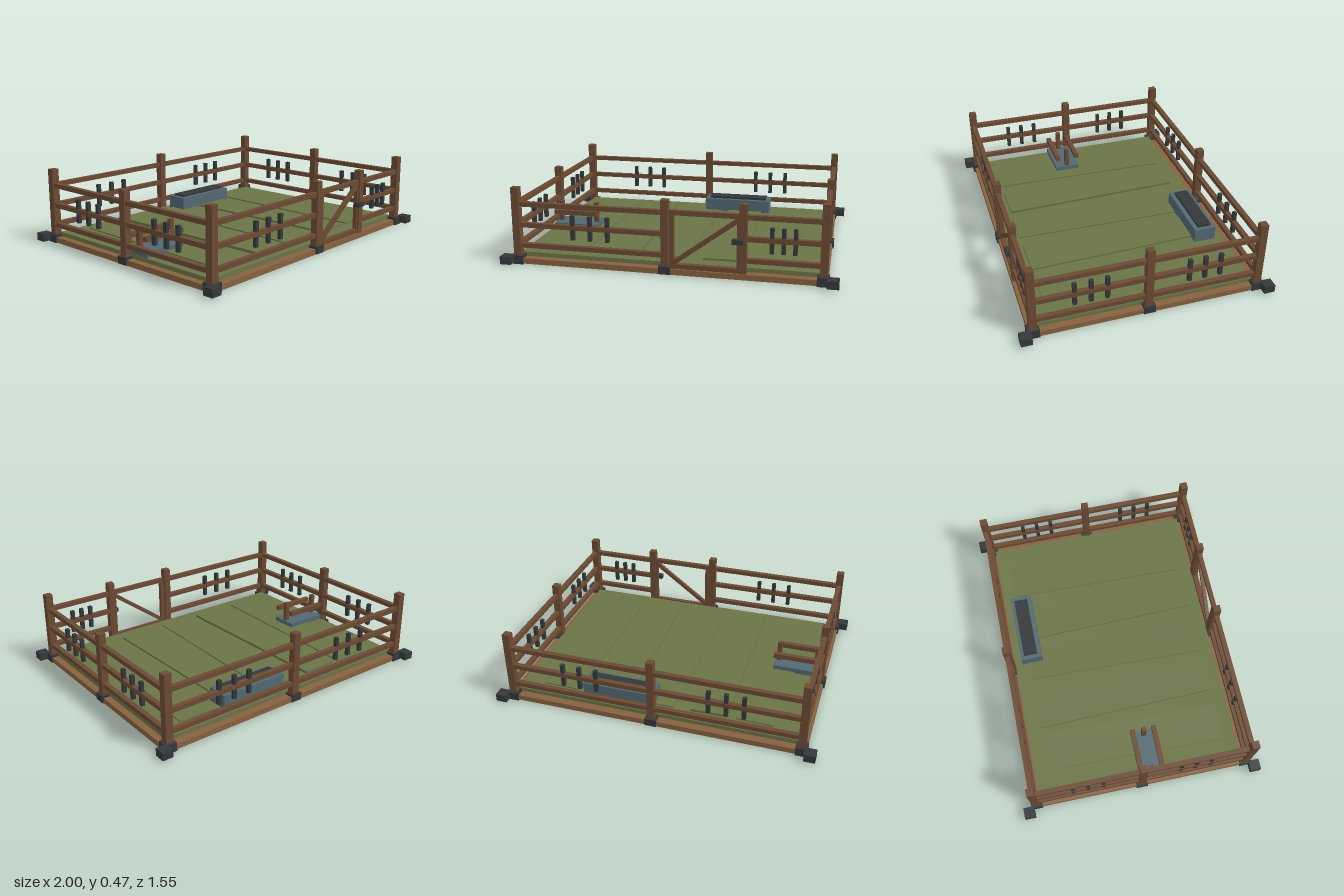
import * as THREE from 'three';

const mat = (color) => new THREE.MeshStandardMaterial({ color, flatShading: true });

export function createModel() {
  const model = new THREE.Group();
  model.name = 'paddock';
  const wood = mat(0x6b4a33), beam = mat(0x86613f), grass = mat(0x6b7347);
  const iron = mat(0x34383a), slate = mat(0x526871), earth = mat(0x3d2d20);

  // Box given by centre x/z, bottom and top heights
  const box = (name, m, x, z, y0, y1, w, d, parent = model) => {
    const mesh = new THREE.Mesh(new THREE.BoxGeometry(w, y1 - y0, d), m);
    mesh.position.set(x, (y0 + y1) / 2, z);
    mesh.name = name;
    parent.add(mesh);
    return mesh;
  };
  const X = 0.912, Z = 0.688;

  // Floor: underside, turf and the slightly skewed turf strips
  box('underside', earth, 0, 0, 0, 0.03, 1.86, 1.4);
  box('turf', grass, 0, 0, 0.03, 0.062, 1.79, 1.33);
  const strips = [[-0.625, -0.025, 0.07], [-0.315, 0.021, 0.078], [0, -0.027, 0.07],
    [0.31, 0.021, 0.074], [0.622, -0.022, 0.07]];
  for (const [x, turn, top] of strips) {
    box('turfStrip', grass, x, 0, 0.06, top, 0.235, 1.165).rotation.y = turn;
  }

  // Base frame
  for (const s of [-1, 1]) {
    box('baseBeam', beam, 0, s * Z, 0.002, 0.036, 1.876, 0.052);
    box('baseBeam', beam, s * X, 0, 0.002, 0.036, 0.052, 1.324);
  }

  // Corner posts with iron feet
  for (const sx of [-1, 1]) for (const sz of [-1, 1]) {
    box('cornerPost', wood, sx * X, sz * Z, 0.03, 0.472, 0.046, 0.046);
    box('cornerFoot', iron, sx * 0.91, sz * 0.688, 0, 0.053, 0.07, 0.072);
    box('cornerBlock', iron, sx * 0.966, sz * 0.74, 0.01, 0.058, 0.068, 0.068);
  }

  // Middle posts with iron feet
  for (const s of [-1, 1]) {
    box('middlePost', wood, 0, s * Z, 0.03, 0.447, 0.045, 0.045);
    box('middleFoot', iron, 0, s * 0.693, 0.004, 0.05, 0.072, 0.06);
    box('middlePost', wood, s * X, 0, 0.03, 0.447, 0.045, 0.045);
    box('middleFoot', iron, s * 0.918, 0, 0.004, 0.05, 0.06, 0.072);
  }
  box('gatePost', wood, 0.455, Z, 0.03, 0.447, 0.044, 0.044);

  // Fence bays: three rails and three short pickets, built along x
  const fenceBay = (from, to, spread) => {
    const bay = new THREE.Group();
    bay.name = 'fenceBay';
    const mid = (from + to) / 2;
    for (const y of [0.114, 0.242, 0.37]) {
      box('rail', wood, mid, 0, y - 0.014, y + 0.014, to - from, 0.03, bay);
    }
    for (const i of [-1, 0, 1]) {
      box('picket', iron, mid + i * spread, 0, 0.165, 0.315, 0.024, 0.022, bay);
    }
    model.add(bay);
    return bay;
  };
  for (const s of [-1, 1]) {
    fenceBay(Math.min(0, s * X), Math.max(0, s * X), 0.107).position.z = -Z;
    for (const side of [-1, 1]) {
      const bay = fenceBay(Math.min(0, s * Z), Math.max(0, s * Z), 0.096);
      bay.rotation.y = Math.PI / 2;
      bay.position.x = side * X;
    }
  }
  fenceBay(-X, 0, 0.107).position.z = Z;
  fenceBay(0.455, X, 0.066).position.z = Z;

  // Gate with diagonal brace and latch
  const gate = new THREE.Group();
  gate.name = 'gate';
  model.add(gate);
  for (const x of [0.04, 0.433]) box('gateStile', wood, x, Z, 0.04, 0.385, 0.026, 0.026, gate);
  for (const y of [0.05, 0.373]) box('gateRail', wood, 0.237, Z, y - 0.014, y + 0.014, 0.41, 0.028, gate);
  const brace = box('gateBrace', wood, 0.24, Z, 0.198, 0.224, 0.49, 0.024, gate);
  brace.rotation.z = Math.atan2(0.29, 0.39);
  box('latch', iron, 0.427, 0.715, 0.216, 0.244, 0.064, 0.036, gate);

  // Feeding trough by the back fence
  box('trough', slate, 0.243, -0.547, 0.06, 0.15, 0.455, 0.14);
  box('troughFill', iron, 0.243, -0.55, 0.145, 0.164, 0.4, 0.088);

  // Small stand by the right fence: plate, two posts, two bars
  box('standPlate', slate, -0.748, 0.075, 0.06, 0.097, 0.29, 0.165);
  for (const x of [-0.872, -0.626]) box('standPost', wood, x, 0.075, 0.09, 0.23, 0.028, 0.028);
  for (const z of [0.005, 0.143]) box('standBar', wood, -0.748, z, 0.156, 0.186, 0.292, 0.03);

  return model;
}
